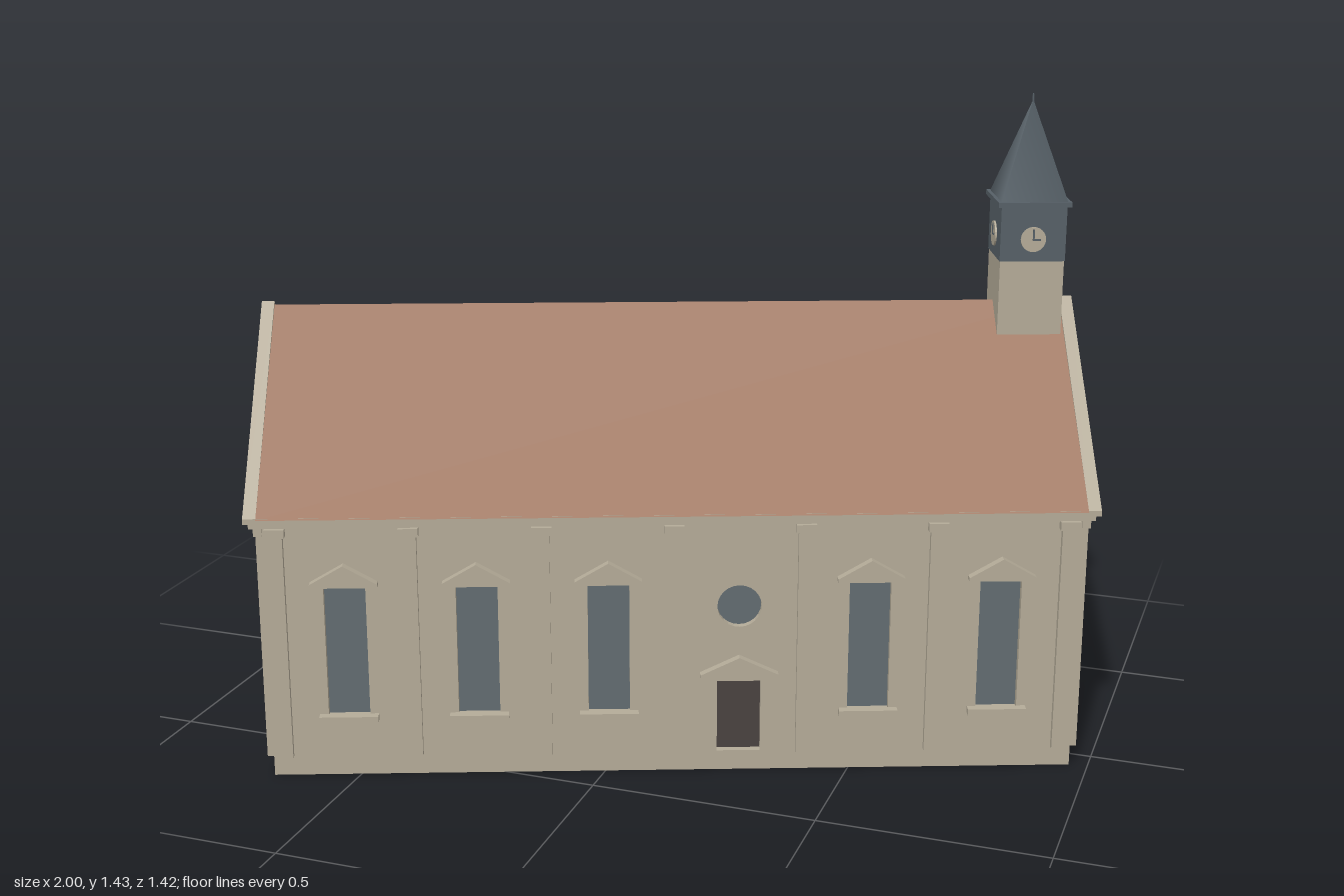
import * as THREE from 'three';

const mat = (name, color) => {
  const m = new THREE.MeshStandardMaterial({ color });
  m.name = name;
  return m;
};

export function createModel() {
  const stone = mat('stone', 0xb4ab98);
  const tile = mat('roof tile', 0x9c735c);
  const slate = mat('slate', 0x566067);
  const glass = mat('window glass', 0x626c71);
  const wood = mat('dark wood', 0x4a4240);

  const L = 0.8765, W = 0.395;      // half length and half width of the walls
  const EL = 0.9135, EW = 0.411;    // half length and half width at the eaves
  const H = 0.575, EAVE = 0.6, RIDGE = 0.966, REVEAL = 0.02;
  const BAY = 0.283;

  const model = new THREE.Group();
  model.name = 'church';
  const church = new THREE.Group();
  church.name = 'building';
  church.rotation.y = 0.365;
  model.add(church);

  const add = (parent, name, geo, material, x = 0, y = 0, z = 0) => {
    const m = new THREE.Mesh(geo, material);
    m.name = name;
    m.position.set(x, y, z);
    parent.add(m);
    return m;
  };
  // Box given by its bottom height and its top height
  const box = (parent, name, material, w, y0, y1, d, x = 0, z = 0) =>
    add(parent, name, new THREE.BoxGeometry(w, y1 - y0, d), material, x, (y0 + y1) / 2, z);
  const poly = (pts) => new THREE.Shape(pts.map(([x, y]) => new THREE.Vector2(x, y)));
  const rect = (x, y0, y1, w) =>
    poly([[x - w / 2, y0], [x + w / 2, y0], [x + w / 2, y1], [x - w / 2, y1]]);
  const disc = (x, y, r) => {
    const s = new THREE.Shape();
    s.absarc(x, y, r, 0, Math.PI * 2);
    return s;
  };
  const extrude = (shape, depth) =>
    new THREE.ExtrudeGeometry(shape, { depth, bevelEnabled: false, curveSegments: 12 });
  // Group whose z = 0 plane is one outer face of the building
  const face = (name, angle, dist) => {
    const g = new THREE.Group();
    g.name = name;
    g.rotation.y = angle;
    g.position.set(Math.sin(angle) * dist, 0, Math.cos(angle) * dist);
    church.add(g);
    return g;
  };
  // Wall slab with openings, each closed at the back by a thin pane
  const wall = (g, name, outline, depth, openings) => {
    openings.forEach((o) => {
      outline.holes.push(o.shape);
      add(g, o.name, extrude(o.shape, 0.004), o.material, 0, 0, -depth);
    });
    add(g, name, extrude(outline, depth), stone, 0, 0, -depth);
  };
  const pilaster = (g, x, w) => {
    box(g, 'pilaster', stone, w, 0.045, 0.556, 0.014, x, 0.007);
    box(g, 'capital', stone, w + 0.01, 0.556, H, 0.018, x, 0.009);
  };
  const pediment = (g, x, y, w, h) => add(g, 'pediment', extrude(poly([
    [-w / 2, 0], [w / 2, 0], [w / 2, 0.008], [0, h], [-w / 2, 0.008]]), 0.02), stone, x, y, 0);
  const sill = (g, x, y) => box(g, 'sill', stone, 0.128, y, y + 0.014, 0.02, x, 0.01);

  // Core of the building behind the wall slabs
  box(church, 'core', stone, 2 * (L - REVEAL), 0, H, 2 * (W - REVEAL));

  // Long walls, with the door in the fourth bay
  [['frontWall', 0], ['backWall', Math.PI]].forEach(([name, angle], side) => {
    const g = face(name, angle, W);
    const openings = [];
    for (let i = 0; i < 6; i++) {
      const x = (i - 2.5) * BAY;
      if (i === 3) {
        openings.push({ name: 'door', shape: rect(x, 0.045, 0.21, 0.095), material: wood });
        openings.push({ name: 'roundWindow', shape: disc(x, 0.385, 0.048), material: glass });
        pediment(g, x, 0.224, 0.17, 0.048);
        if (side) {
          sill(g, x, 0.13);
          sill(g, x, 0.442);
        }
      } else {
        openings.push({ name: 'window', shape: rect(x, 0.14, 0.443, 0.09), material: glass });
        pediment(g, x, 0.443, 0.145, 0.05);
        if (!(side && i === 2)) sill(g, x, 0.13);
      }
    }
    wall(g, 'wall', rect(0, 0, H, 2 * L), REVEAL, openings);
    for (let i = -3; i <= 3; i++) pilaster(g, i * BAY, 0.033);
  });

  // End walls and the gables above them
  [['leftEnd', Math.PI / 2], ['rightEnd', -Math.PI / 2]].forEach(([name, angle]) => {
    const g = face(name + 'Wall', angle, L);
    const at = [-0.252, 0, 0.252];
    wall(g, 'wall', rect(0, 0, H, 2 * (W - REVEAL)), REVEAL, at.map((x) => (
      { name: 'window', shape: rect(x, 0.145, 0.44, 0.086), material: glass })));
    [-0.372, -0.126, 0.126, 0.372].forEach((x) => pilaster(g, x, 0.045));

    const gable = face(name + 'Gable', angle, EL);
    const outline = poly([[-EW, EAVE], [EW, EAVE], [0, RIDGE + 0.008]]);
    wall(gable, 'gable', outline, 0.028, [-0.23, 0, 0.23].map((x) => (
      { name: 'atticWindow', shape: rect(x, 0.645, 0.72, 0.052), material: wood })));
  });

  // Stepped cornice
  box(church, 'lowerCornice', stone, 2 * EL - 0.02, H, 0.587, 2 * EW - 0.014);
  box(church, 'upperCornice', stone, 2 * EL, 0.587, EAVE, 2 * EW);

  // Pitched roof between the gables
  const roofLen = 2 * (EL - 0.028);
  const roof = add(church, 'roof',
    extrude(poly([[-EW - 0.003, EAVE - 0.003], [EW + 0.003, EAVE - 0.003], [0, RIDGE]]), roofLen),
    tile, -roofLen / 2);
  roof.rotation.y = Math.PI / 2;

  // Bell tower
  const tower = new THREE.Group();
  tower.name = 'tower';
  tower.position.set(0.806, 0, 0);
  church.add(tower);
  box(tower, 'towerBase', stone, 0.143, 0.9, 1.07, 0.143);
  box(tower, 'belfry', slate, 0.146, 1.07, 1.195, 0.146);
  box(tower, 'towerEaves', slate, 0.163, 1.193, 1.204, 0.163);
  const spire = add(tower, 'spire', new THREE.ConeGeometry(0.104, 0.216, 4), slate, 0, 1.312, 0);
  spire.rotation.y = Math.PI / 4;
  add(tower, 'finial', new THREE.CylinderGeometry(0.002, 0.003, 0.04, 6), slate, 0, 1.413, 0);

  // Clock on each side of the belfry
  for (let i = 0; i < 4; i++) {
    const clock = new THREE.Group();
    clock.name = 'clock';
    clock.rotation.y = i * Math.PI / 2;
    tower.add(clock);
    add(clock, 'dial', extrude(disc(0, 1.12, 0.028), 0.004), stone, 0, 0, 0.073);
    box(clock, 'minuteHand', slate, 0.004, 1.118, 1.143, 0.002, 0, 0.078);
    box(clock, 'hourHand', slate, 0.017, 1.118, 1.122, 0.002, 0.008, 0.078);
  }
  return model;
}
